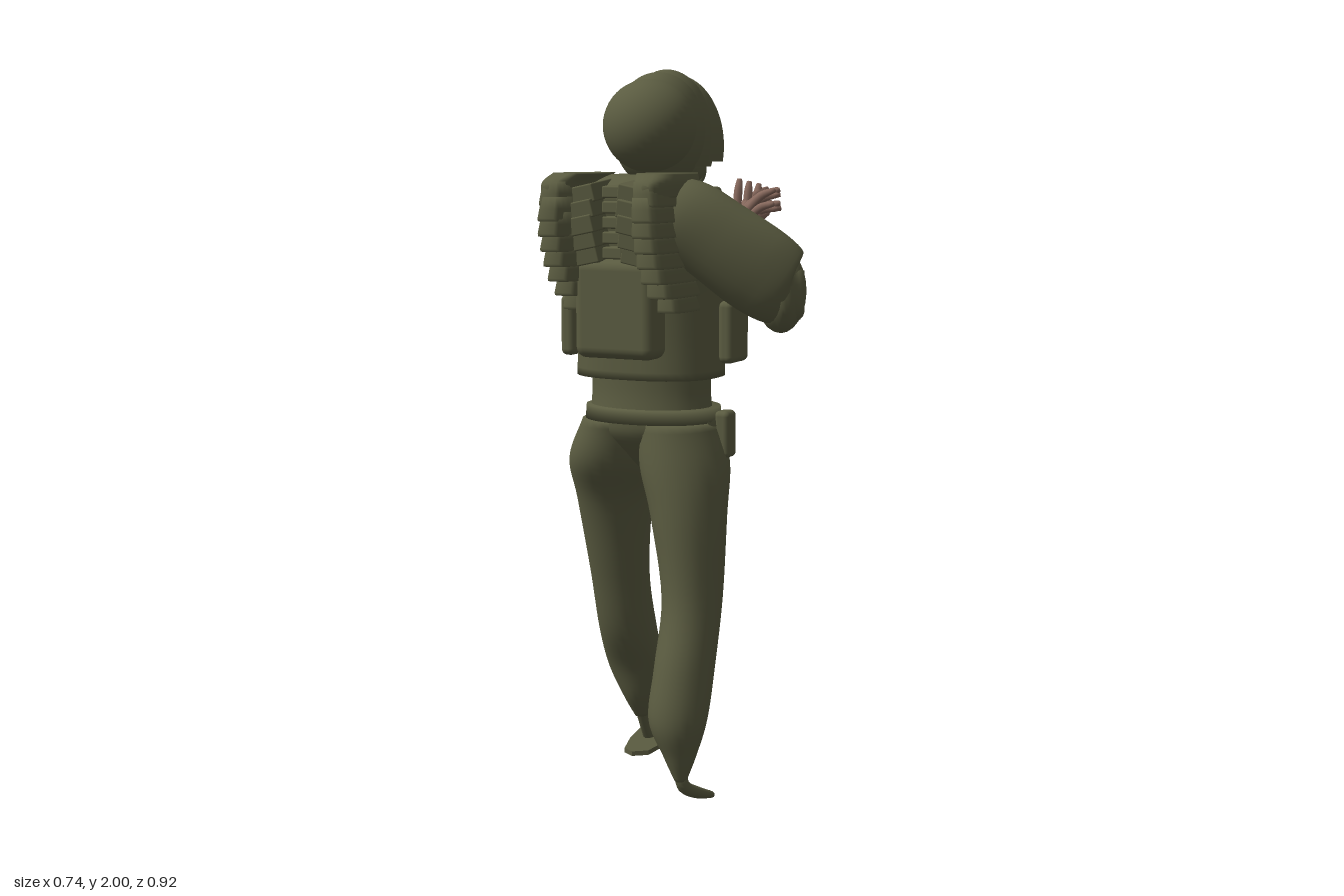
import * as THREE from 'three';
import { RoundedBoxGeometry } from 'three/addons/geometries/RoundedBoxGeometry.js';

const mat = (name, color, side = THREE.FrontSide) => {
  const m = new THREE.MeshStandardMaterial({ color, side });
  m.name = name;
  return m;
};

export function createModel() {
  const root = new THREE.Group();
  const olive = mat('olive cloth', 0x5b5c41, THREE.DoubleSide);
  const skin = mat('skin', 0x86685c);

  const add = (name, geo, material = olive, parent = root) => {
    const m = new THREE.Mesh(geo, material);
    m.name = name;
    parent.add(m);
    return m;
  };

  // Smooth body through rows of [x, y, z, r1, r2].
  // level: horizontal rings (r1 = x, r2 = z); otherwise rings follow the path (r1 = sideways, r2 = vertical).
  // power below 1 makes the rings boxier.
  function sweep(rows, { level = false, power = 1, seg = 24, steps = 6 } = {}) {
    const path = new THREE.CatmullRomCurve3(rows.map(r => new THREE.Vector3(r[0], r[1], r[2])));
    const radii = new THREE.CatmullRomCurve3(rows.map(r => new THREE.Vector3(r[3], r[4], 0)));
    path.curveType = radii.curveType = 'catmullrom';
    const n = (rows.length - 1) * steps, pos = [], idx = [];
    const bend = v => Math.sign(v) * Math.abs(v) ** power;
    for (let i = 0; i <= n; i++) {
      const c = path.getPoint(i / n), r = radii.getPoint(i / n), t = path.getTangent(i / n);
      let u = new THREE.Vector3(0, 0, 1), v = new THREE.Vector3(1, 0, 0), ru = r.y, rv = r.x;
      if (!level) {
        u = t.clone().cross(new THREE.Vector3(0, 1, 0)).normalize();
        v = t.clone().cross(u);
        ru = r.x; rv = r.y;
      }
      for (let j = 0; j < seg; j++) {
        const a = j / seg * Math.PI * 2;
        const p = c.clone().addScaledVector(u, bend(Math.cos(a)) * ru).addScaledVector(v, bend(Math.sin(a)) * rv);
        pos.push(p.x, p.y, p.z);
      }
    }
    for (let i = 0; i < n; i++) for (let j = 0; j < seg; j++) {
      const a = i * seg + j, b = i * seg + (j + 1) % seg;
      idx.push(a, b, a + seg, b, b + seg, a + seg);
    }
    // end caps
    const first = pos.length / 3, last = n * seg;
    pos.push(...rows[0].slice(0, 3), ...rows[rows.length - 1].slice(0, 3));
    for (let j = 0; j < seg; j++) {
      const k = (j + 1) % seg;
      idx.push(first, k, j, first + 1, last + j, last + k);
    }
    const g = new THREE.BufferGeometry();
    g.setAttribute('position', new THREE.Float32BufferAttribute(pos, 3));
    g.setIndex(idx);
    g.computeVertexNormals();
    return g;
  }

  const box = (name, x, y, z, w, h, d, r = 0.015, parent = root) => {
    const m = add(name, new RoundedBoxGeometry(w, h, d, 3, r), olive, parent);
    m.position.set(x, y, z);
    return m;
  };
  const ball = (name, x, y, z, rx, ry, rz, cut = Math.PI) => {
    const m = add(name, new THREE.SphereGeometry(1, 36, 24, 0, Math.PI * 2, 0, cut));
    m.position.set(x, y, z);
    m.scale.set(rx, ry, rz);
    return m;
  };

  // Trousers: gathered at the ankles, one leg stepping forward (-z)
  add('forwardLeg', sweep([
    [-0.265, 0.1, -0.1, 0.018, 0.02], [-0.262, 0.17, -0.085, 0.05, 0.05], [-0.262, 0.27, -0.065, 0.086, 0.072],
    [-0.257, 0.4, -0.005, 0.084, 0.085], [-0.252, 0.58, 0.05, 0.086, 0.083], [-0.245, 0.8, 0.088, 0.106, 0.113],
    [-0.22, 0.93, 0.13, 0.126, 0.142], [-0.185, 1.05, 0.14, 0.105, 0.147]], { level: true }));
  add('rearLeg', sweep([
    [0.09, 0.09, 0.34, 0.016, 0.02], [0.085, 0.16, 0.335, 0.045, 0.05], [0.077, 0.26, 0.33, 0.08, 0.083],
    [0.08, 0.4, 0.295, 0.08, 0.095], [0.076, 0.58, 0.24, 0.08, 0.098], [0.05, 0.8, 0.208, 0.102, 0.118],
    [0.022, 0.93, 0.175, 0.12, 0.14], [-0.005, 1.05, 0.148, 0.105, 0.147]], { level: true }));
  add('hips', sweep([
    [-0.1, 0.92, 0.15, 0.03, 0.05], [-0.098, 0.96, 0.15, 0.1, 0.09],
    [-0.094, 1.02, 0.146, 0.193, 0.138], [-0.09, 1.08, 0.143, 0.188, 0.148]], { level: true }));

  // Feet
  add('forwardAnkle', sweep([[-0.265, 0.12, -0.1, 0.018, 0.02], [-0.268, 0.06, -0.13, 0.015, 0.018],
    [-0.272, 0.01, -0.165, 0.018, 0.018]], { seg: 10 }));
  add('rearFoot', sweep([[0.09, 0.12, 0.345, 0.014, 0.018], [0.095, 0.07, 0.33, 0.018, 0.018],
    [0.108, 0.035, 0.27, 0.02, 0.016], [0.115, 0.012, 0.21, 0.016, 0.01]], { seg: 12 }));
  const sole = new THREE.Shape([[-0.35, -0.295], [-0.335, -0.335], [-0.285, -0.342], [-0.247, -0.32], [-0.222, -0.23],
    [-0.205, -0.13], [-0.21, -0.04], [-0.25, -0.01], [-0.285, -0.03], [-0.315, -0.12], [-0.34, -0.25]]
    .map(p => new THREE.Vector2(...p)));
  const soleGeo = new THREE.ExtrudeGeometry(sole, { depth: 0.014, bevelEnabled: false });
  soleGeo.rotateX(Math.PI / 2).translate(0, 0.014, 0);
  add('forwardSole', soleGeo);

  // Waist, belt and vest
  add('waist', sweep([[-0.1, 1.06, 0.14, 0.18, 0.135], [-0.1, 1.13, 0.14, 0.174, 0.128],
    [-0.1, 1.22, 0.14, 0.178, 0.13]], { level: true }));
  add('belt', sweep([[-0.092, 1.05, 0.143, 0.194, 0.153], [-0.092, 1.088, 0.143, 0.191, 0.15]],
    { level: true, power: 0.92, seg: 36, steps: 1 }));
  box('beltBuckle', -0.09, 1.07, -0.01, 0.06, 0.045, 0.02, 0.005);
  add('vest', sweep([[-0.105, 1.17, 0.13, 0.205, 0.16], [-0.105, 1.3, 0.13, 0.202, 0.16],
    [-0.105, 1.45, 0.135, 0.2, 0.162], [-0.1, 1.58, 0.15, 0.21, 0.165], [-0.1, 1.67, 0.18, 0.19, 0.155],
    [-0.09, 1.72, 0.18, 0.09, 0.09]], { level: true, power: 0.8, seg: 36 }));

  // Pouches
  for (let i = -1; i <= 1; i++) {
    box('chestPouch', -0.1 + i * 0.1, 1.355, -0.05, 0.085, 0.2, 0.07, 0.02);
    box('chestPouchFlap', -0.1 + i * 0.1, 1.43, -0.053, 0.09, 0.06, 0.074, 0.015);
  }
  for (const s of [-1, 1]) {
    box('sidePouch', -0.098 + s * 0.245, 1.3, 0.13, 0.045, 0.17, 0.115, 0.018);
    box('shoulderStrap', -0.1 + s * 0.12, 1.62, 0.05, 0.075, 0.13, 0.09, 0.015);
  }
  box('hipPouch', 0.118, 1.015, 0.12, 0.045, 0.13, 0.062, 0.015);
  box('backPouch', -0.1, 1.365, 0.315, 0.24, 0.265, 0.1, 0.03);

  // Back harness: two humped wings of shingled layers beside a middle strap
  const harness = new THREE.Group();
  harness.name = 'backHarness';
  root.add(harness);
  const reach = [0.455, 0.463, 0.463, 0.452, 0.437, 0.415, 0.38, 0.335];
  for (const s of [-1, 1]) {
    add('wingTop', sweep([
      [-0.1 + s * 0.14, 1.66, 0.31, 0.04, 0.14], [-0.1 + s * 0.137, 1.7, 0.305, 0.046, 0.14],
      [-0.1 + s * 0.125, 1.725, 0.28, 0.05, 0.12]], { level: true, power: 0.6 }), olive, harness);
    reach.forEach((z, r) => {
      const y = 1.675 - r * 0.04, x = -0.1 + s * 0.14;
      add('wingLayer', sweep([
        [x, y - 0.036, z - 0.146, 0.041, 0.142], [x, y - 0.028, z - 0.144, 0.043, 0.144],
        [x - s * 0.006, y + 0.028, z - 0.146, 0.038, 0.138]],
      { level: true, power: 0.5, steps: 2 }), olive, harness);
      const inner = box('innerLayer', -0.1 + s * 0.07, y, z - 0.13, 0.07, 0.048, 0.14, 0.004, harness);
      inner.rotation.set(0.1, 0, -s * 0.2);
      if (s > 0 && r < 5) box('middleStrap', -0.1, y, 0.31, 0.06, 0.032, 0.1, 0.005, harness);
    });
  }

  // Sleeves
  add('rightSleeve', sweep([[-0.19, 1.63, 0.34, 0.05, 0.05], [-0.225, 1.61, 0.27, 0.1, 0.115],
    [-0.262, 1.565, 0.16, 0.106, 0.14], [-0.185, 1.55, 0.04, 0.09, 0.1], [-0.105, 1.555, -0.1, 0.066, 0.075],
    [-0.065, 1.55, -0.19, 0.05, 0.06], [-0.025, 1.53, -0.28, 0.045, 0.045], [0.01, 1.525, -0.37, 0.038, 0.04]]));
  add('leftUpperSleeve', sweep([[-0.02, 1.64, 0.27, 0.07, 0.06], [0.06, 1.61, 0.255, 0.1, 0.105],
    [0.16, 1.54, 0.232, 0.09, 0.115], [0.26, 1.465, 0.195, 0.078, 0.118], [0.32, 1.42, 0.165, 0.062, 0.1],
    [0.362, 1.42, 0.15, 0.02, 0.05]]));
  add('leftForearmSleeve', sweep([[0.34, 1.41, 0.22, 0.015, 0.04], [0.308, 1.41, 0.17, 0.065, 0.108],
    [0.255, 1.43, 0.1, 0.062, 0.092], [0.2, 1.462, 0.025, 0.052, 0.068], [0.148, 1.49, -0.045, 0.04, 0.045]]));

  // Hands
  const finger = (name, a, b, r, lift = 0.012) => {
    const mid = a.map((v, i) => (v + b[i]) / 2 + (i === 1 ? lift : 0));
    add(name, sweep([[...a, r, r], [...mid, r, r], [...b, r * 0.6, r * 0.6]], { seg: 8, steps: 4 }), skin);
  };
  add('rightPalm', sweep([[-0.083, 1.57, -0.175, 0.052, 0.055], [-0.06, 1.58, -0.23, 0.055, 0.045],
    [-0.025, 1.59, -0.29, 0.07, 0.035], [-0.005, 1.605, -0.345, 0.06, 0.022]], { seg: 16 }), skin);
  for (let i = 0; i < 8; i++) {
    const t = i / 7, a = -0.05 + t * 1.55, len = 0.14 - t * 0.055;
    const x = -0.04 + t * 0.045, z = -0.32 + t * 0.055;
    for (const k of [0, 1]) {
      finger('rightFinger', [x, 1.61 - k * 0.025, z],
        [x + Math.sin(a + k * 0.1) * len, 1.655 - k * 0.04 + (i % 2) * 0.015, z - Math.cos(a + k * 0.1) * len], 0.012);
    }
  }
  finger('rightThumb', [-0.06, 1.59, -0.26], [-0.1, 1.64, -0.315], 0.018);
  for (let i = 0; i < 3; i++) {
    finger('rightCurledFinger', [-0.04 + i * 0.01, 1.61, -0.29 - i * 0.05], [-0.04 + i * 0.008, 1.7 - i * 0.008, -0.31 - i * 0.05], 0.013);
  }
  add('leftPalm', sweep([[0.16, 1.485, -0.025, 0.035, 0.04], [0.125, 1.495, -0.065, 0.035, 0.045],
    [0.08, 1.505, -0.1, 0.025, 0.055], [0.05, 1.51, -0.112, 0.02, 0.045]], { seg: 16 }), skin);
  for (let i = 0; i < 4; i++) {
    finger('leftFinger', [0.06, 1.545 - i * 0.026, -0.105], [-0.02 + i * 0.008, 1.545 - i * 0.032, -0.105 - (i % 2) * 0.02], 0.012, 0);
  }
  finger('leftThumb', [0.1, 1.53, -0.085], [0.065, 1.62, -0.1], 0.014);

  // Head: neck, face, goggles and headset
  add('neck', sweep([[-0.08, 1.62, 0.14, 0.1, 0.1], [-0.075, 1.7, 0.12, 0.07, 0.075],
    [-0.07, 1.78, 0.1, 0.075, 0.08]], { level: true }));
  ball('face', -0.07, 1.755, 0.07, 0.085, 0.1, 0.095);
  box('goggles', -0.07, 1.755, -0.015, 0.13, 0.04, 0.04, 0.012);
  box('chinGuard', -0.07, 1.68, 0.0, 0.075, 0.045, 0.05, 0.015);
  for (const s of [-1, 1]) {
    ball('earCup', -0.07 + s * 0.088, 1.745, 0.1, 0.025, 0.045, 0.04);
    add('chinStrap', new THREE.TubeGeometry(new THREE.CatmullRomCurve3([
      new THREE.Vector3(-0.07 + s * 0.1, 1.79, 0.08), new THREE.Vector3(-0.07 + s * 0.08, 1.71, 0.04),
      new THREE.Vector3(-0.07, 1.665, 0.01)]), 12, 0.007, 6));
  }

  // Helmet: one long shell with a raised rear lobe and a round bundle behind
  ball('helmetShell', -0.067, 1.795, 0.05, 0.123, 0.193, 0.168, Math.PI * 0.57);
  ball('helmetCrown', -0.065, 1.81, 0.105, 0.121, 0.19, 0.155, Math.PI * 0.62);
  ball('helmetRear', -0.052, 1.835, 0.18, 0.121, 0.155, 0.14);
  ball('helmetBundle', -0.037, 1.847, 0.262, 0.125, 0.122, 0.12);
  return root;
}
